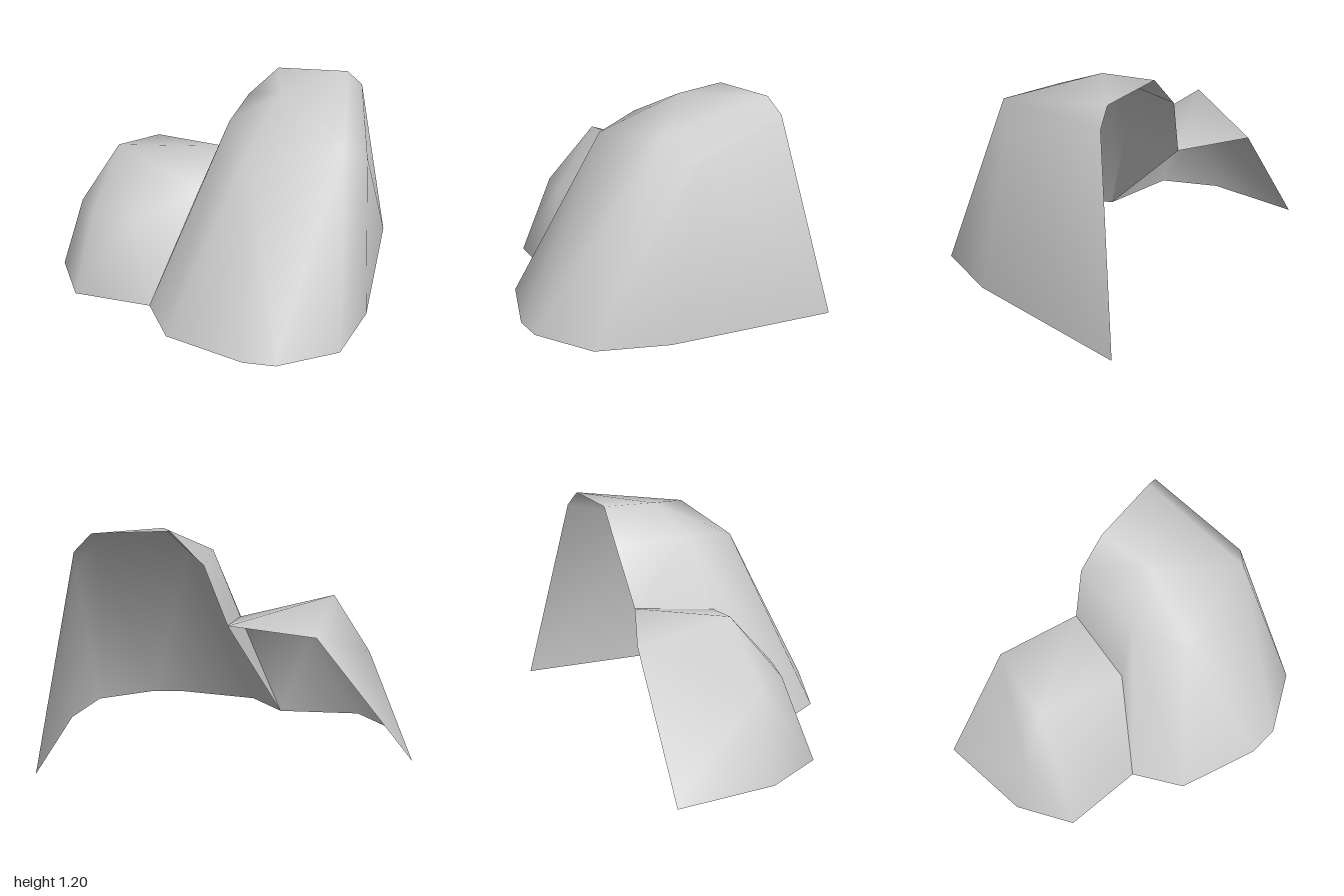
import * as THREE from 'three';

const stone = new THREE.MeshStandardMaterial({ color: 0xcccccc, side: THREE.DoubleSide });
stone.name = 'pale grey stone';

// Smooth shell from named corner points; every face is turned away from the core point.
function shell(name, points, faces, core) {
  const keys = Object.keys(points);
  const v = keys.map(k => new THREE.Vector3(...points[k]));
  const normals = v.map(() => new THREE.Vector3());
  const c = new THREE.Vector3(...core);
  const index = [];
  for (const face of faces) {
    const ids = face.split(' ').map(k => keys.indexOf(k));
    const tri = new THREE.Triangle(...ids.map(i => v[i]));
    const normal = tri.getNormal(new THREE.Vector3());
    if (normal.dot(tri.a.clone().sub(c)) < 0) {
      normal.negate();
      ids.reverse();
    }
    index.push(...ids);
    // corner angles weight the smooth normals
    ids.forEach((id, i) => {
      const toNext = v[ids[(i + 1) % 3]].clone().sub(v[id]);
      const toLast = v[ids[(i + 2) % 3]].clone().sub(v[id]);
      normals[id].addScaledVector(normal, toNext.angleTo(toLast));
    });
  }
  const geometry = new THREE.BufferGeometry().setFromPoints(v);
  geometry.setIndex(index);
  geometry.setAttribute('normal', new THREE.Float32BufferAttribute(
    normals.flatMap(n => n.normalize().toArray()), 3));
  const mesh = new THREE.Mesh(geometry, stone);
  mesh.name = name;
  return mesh;
}

// Corners shared by both rocks along the seam
const seam = {
  seamBack: [-0.01, 0.69, -0.48],
  seamMid: [-0.14, 0.65, -0.06],
  seamFoot: [-0.43, 0, 0.22],
};

export function createModel() {
  const group = new THREE.Group();
  group.name = 'rockOutcrop';

  // Tall rock, open at the back and underneath
  group.add(shell('tallRock', {
    ...seam,
    // foot outline from back left round the front
    f0: [1, 0, -0.71], f1: [0.82, 0, 0.25], f2: [0.65, 0, 0.62], f3: [0.3, 0, 0.755],
    f4: [0.12, 0, 0.73], f5: [-0.31, 0, 0.51],
    // back rim
    r0: [0.78, 1.1, -0.5], r1: [0.69, 1.19, -0.48], r2: [0.29, 1.197, -0.5], r3: [0.12, 1.02, -0.52],
    // crown
    top: [0.3, 1.175, -0.19], browLeft: [0.645, 1.065, 0.19], corner: [0.78, 0.92, 0.09],
    browRight: [0.12, 0.98, 0.21], shoulder: [0.02, 1.04, -0.1],
  }, [
    // side wall
    'f0 f1 corner', 'f0 corner r0', 'f1 f2 corner', 'f2 browLeft corner',
    // front
    'f2 f3 browLeft', 'f3 browRight browLeft', 'f3 f4 browRight', 'f4 f5 browRight',
    'f5 shoulder browRight', 'f5 seamFoot shoulder',
    // crown
    'r0 corner browLeft', 'r0 browLeft r1', 'r1 browLeft top', 'r1 top r2',
    'browLeft browRight top', 'browRight shoulder top', 'top r3 r2', 'top shoulder r3',
    // wall above the seam
    'seamFoot seamMid shoulder', 'seamMid seamBack shoulder', 'seamBack r3 shoulder',
  ], [0.4, 0.3, -0.4]));

  // Low rock, open at the back and underneath
  group.add(shell('lowRock', {
    ...seam,
    f0: [-0.95, 0, -0.755], f1: [-1, 0, -0.22], f2: [-0.88, 0, 0.11],
    m1: [-0.855, 0.46, -0.2], m2: [-0.77, 0.47, -0.03], m3: [-0.56, 0.46, 0.05],
    rim: [-0.44, 0.66, -0.69], peak: [-0.63, 0.8, -0.26],
  }, [
    'f0 f1 m1', 'f0 m1 rim', 'm1 peak rim', 'f1 f2 m1', 'f2 m2 m1', 'm1 m2 peak',
    'f2 seamFoot m3', 'f2 m3 m2', 'm3 seamFoot seamMid', 'm2 m3 peak', 'm3 seamMid peak',
    'peak seamMid seamBack', 'peak seamBack rim',
  ], [-0.4, 0.2, -0.5]));

  // Thin web between the two hollows
  group.add(shell('innerWeb', seam, ['seamBack seamMid seamFoot'], [0.4, 0.3, -0.4]));

  return group;
}
